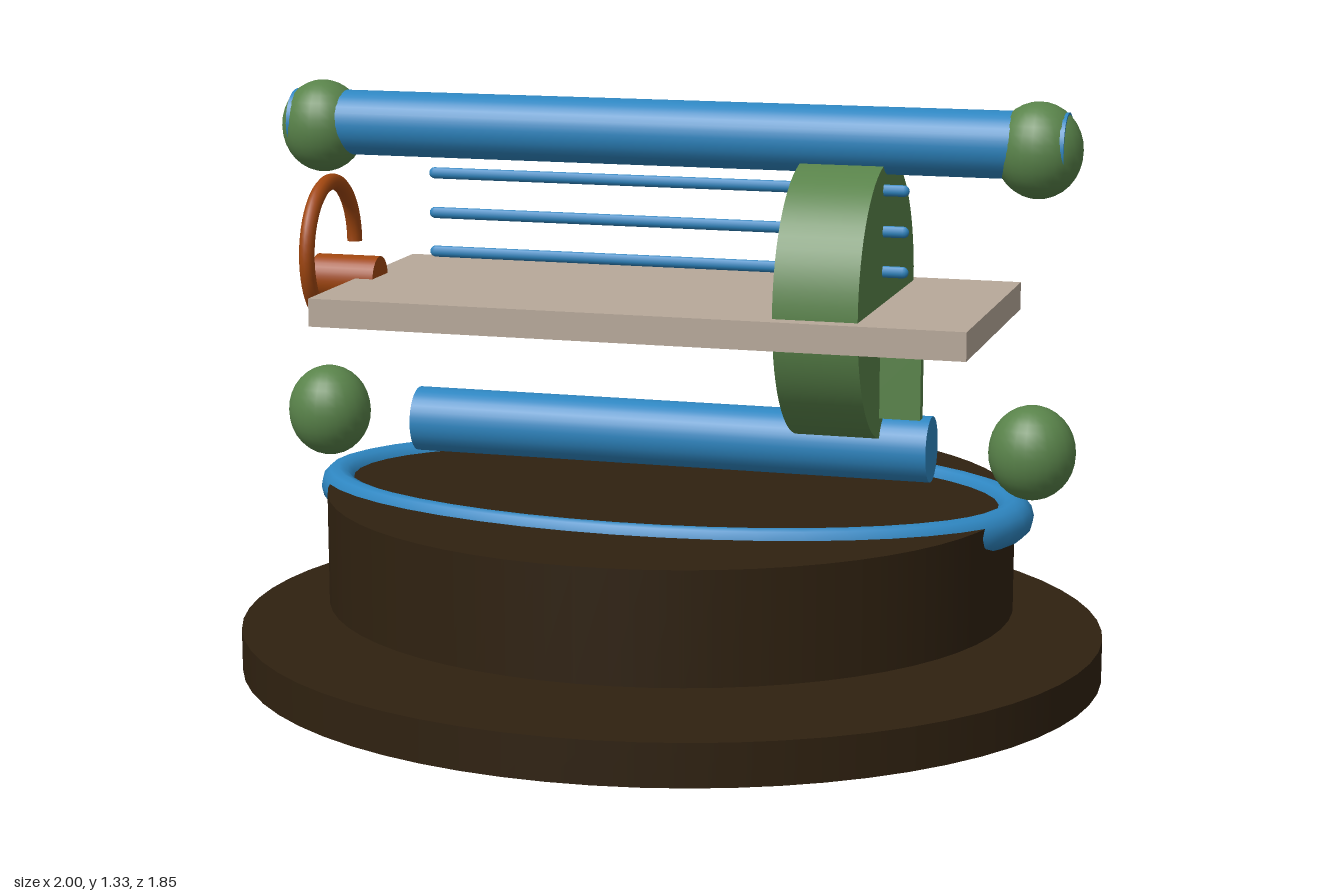
import * as THREE from 'three';

const mat = (name, color) => {
  const m = new THREE.MeshStandardMaterial({ color });
  m.name = name;
  return m;
};

export function createModel() {
  const group = new THREE.Group();
  const darkWood = mat('dark wood', 0x2f2110);
  const blue = mat('blue', 0x2e86c1);
  const green = mat('green', 0x59834a);
  const beige = mat('beige', 0xb8a99a);
  const rust = mat('rust', 0xa0460f);

  const add = (name, geometry, material, x, y, z) => {
    const mesh = new THREE.Mesh(geometry, material);
    mesh.name = name;
    mesh.position.set(x, y, z);
    group.add(mesh);
    return mesh;
  };
  // Elliptical cylinder lying along x
  const rod = (length, ry, rz, segments = 32) =>
    new THREE.CylinderGeometry(1, 1, length, segments).rotateZ(Math.PI / 2).scale(1, ry, rz);
  // Upright elliptical disc
  const disc = (rx, height, rz) => new THREE.CylinderGeometry(1, 1, height, 64).scale(rx, 1, rz);

  // Plinth and the drum floating above it
  add('basePlate', disc(1, 0.097, 0.925), darkWood, 0, 0.0485, 0);
  add('drum', disc(0.795, 0.255, 0.735), darkWood, 0, 0.2825, 0);

  // Oval ring sunk into the drum top, bulging past its sides
  const ring = new THREE.TorusGeometry(0.802, 0.043, 12, 48).rotateX(Math.PI / 2);
  add('ovalRing', ring.scale(1, 1.03, 0.54), blue, 0, 0.389, 0);

  // Long rollers
  add('topRoller', rod(1.81, 0.075, 0.072), blue, 0, 1.234, 0);
  add('lowerRoller', rod(1.225, 0.075, 0.07), blue, 0, 0.54, 0);

  // End knobs
  for (const side of [-1, 1]) {
    for (const [name, y] of [['upperKnob', 1.224], ['lowerKnob', 0.547]]) {
      add(name, new THREE.SphereGeometry(1, 24, 16).scale(0.098, 0.107, 0.091), green, side * 0.84, y, 0);
    }
  }

  // Thin strands between board and top roller
  for (const y of [1.129, 1.037, 0.947]) {
    const strand = new THREE.CapsuleGeometry(0.013, 1.1, 4, 10).rotateZ(Math.PI / 2).scale(1, 1, 0.65);
    add('strand', strand, blue, 0, y, 0.045);
  }

  // Flat board, wheel through it and the small tab beside the wheel
  add('board', new THREE.BoxGeometry(1.5, 0.064, 0.665), beige, 0, 0.842, 0);
  add('wheel', rod(0.19, 0.312, 0.294, 64), green, 0.41, 0.876, 0);
  add('wheelTab', new THREE.BoxGeometry(0.16, 0.16, 0.028), green, 0.518, 0.698, 0.05);

  // Crank: hub and three-quarter hoop, open at the lower back
  add('crankHub', rod(0.155, 0.056, 0.05), rust, -0.784, 0.865, 0);
  const hoop = new THREE.TorusGeometry(0.15, 0.018, 12, 40, Math.PI * 1.5).rotateY(Math.PI / 2);
  add('crankHoop', hoop.scale(1, 1.07, 0.99), rust, -0.828, 0.931, 0).material.side = THREE.DoubleSide;

  return group;
}
